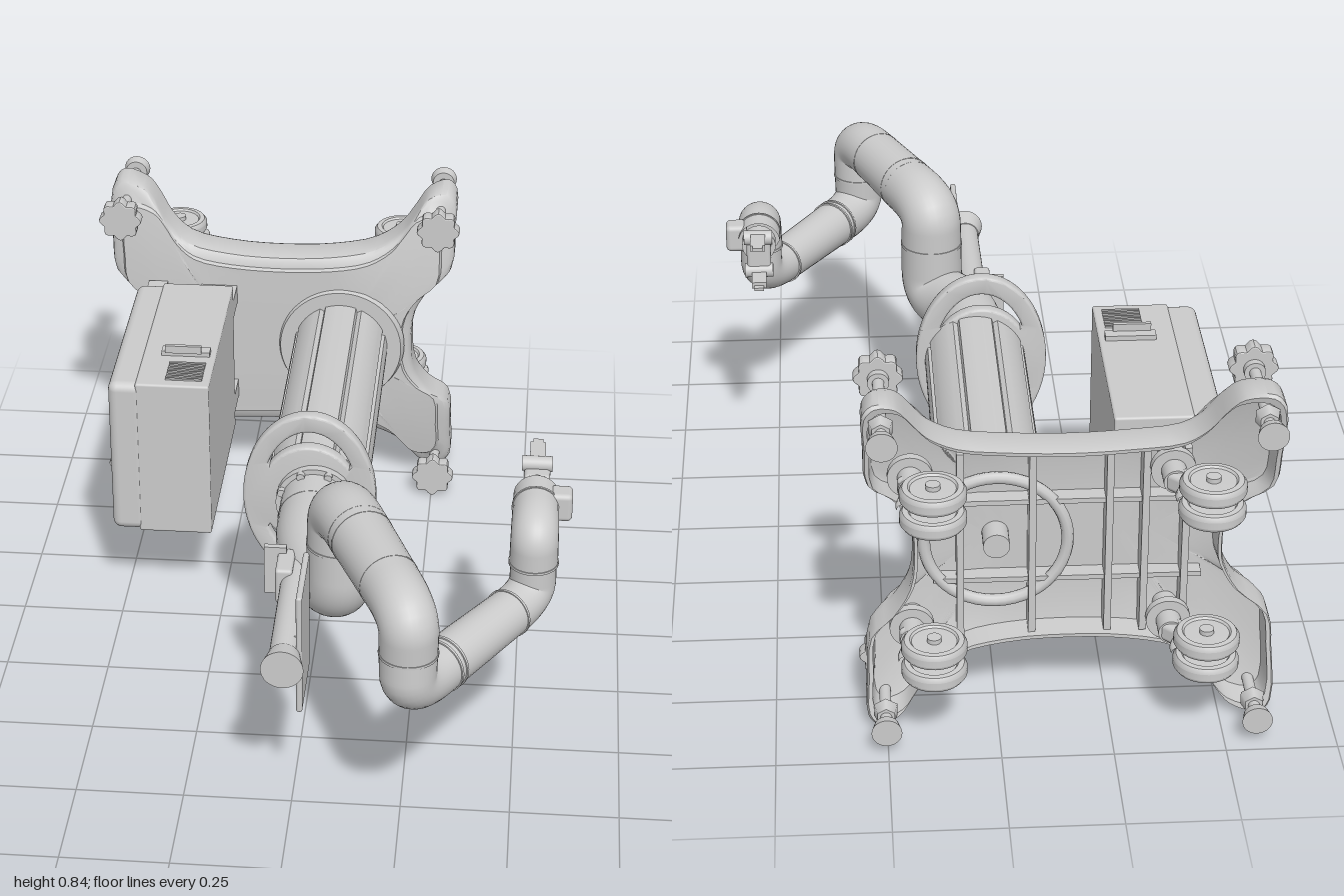
import * as THREE from 'three';
import { toCreasedNormals } from 'three/addons/utils/BufferGeometryUtils.js';
import { RoundedBoxGeometry } from 'three/addons/geometries/RoundedBoxGeometry.js';

const CY = 0.415, CX = -0.16; // column height, base centre
const V = (x, y, z) => new THREE.Vector3(x, y, z);

export function createModel() {
  const root = new THREE.Group();
  const mat = new THREE.MeshStandardMaterial({ color: 0xcccccc });
  const add = (name, geo, x = 0, y = 0, z = 0, parent = root) => {
    const m = new THREE.Mesh(geo, mat);
    m.name = name;
    m.position.set(x, y, z);
    parent.add(m);
    return m;
  };
  // box given by its limits
  const box = (name, x0, x1, y0, y1, z0, z1, r = 0) => {
    const s = [x1 - x0, y1 - y0, z1 - z0];
    const g = r ? new RoundedBoxGeometry(...s, 3, r) : new THREE.BoxGeometry(...s);
    return add(name, g, (x0 + x1) / 2, (y0 + y1) / 2, (z0 + z1) / 2);
  };
  // cylinder from point a to point b
  const rod = (name, a, b, r0, r1 = r0, n = 32) => {
    const d = b.clone().sub(a);
    const m = add(name, new THREE.CylinderGeometry(r1, r0, d.length(), n), ...a.clone().lerp(b, 0.5));
    m.quaternion.setFromUnitVectors(V(0, 1, 0), d.normalize());
    return m;
  };
  const polar = (f, n) => new THREE.Shape(Array.from({ length: n }, (_, i) => {
    const a = (i / n) * Math.PI * 2, r = f(a, i);
    return new THREE.Vector2(r * Math.cos(a), r * Math.sin(a));
  }));

  // --- Base shell: outline rings pulled inward, feet bent backward
  const half = [[0.185, 0], [0.195, 0.09], [0.235, 0.155], [0.285, 0.2], [0.292, 0.3], [0.292, 0.385],
    [0.27, 0.41], [0.225, 0.4], [0.19, 0.355], [0.155, 0.31], [0.09, 0.27], [-0.02, 0.25], [-0.16, 0.243],
    [-0.3, 0.25], [-0.41, 0.27], [-0.46, 0.31], [-0.5, 0.37], [-0.53, 0.4], [-0.59, 0.41], [-0.615, 0.38],
    [-0.615, 0.25], [-0.605, 0.17], [-0.54, 0.115], [-0.505, 0.05]];
  const outline = [...half, [-0.5, 0], ...half.slice(1).reverse().map(([x, y]) => [x, -y])];
  const rim = new THREE.CatmullRomCurve3(outline.map(([x, y]) => V(x - CX, y, 0)), true).getPoints(144).slice(0, 144);
  const bend = (x, y) => -0.085 * Math.pow(Math.max(0, Math.hypot(x, y) - 0.25) / 0.36, 1.5);
  const rings = [[0, -0.688], [0.35, -0.688], [0.6, -0.688], [0.8, -0.69], [0.86, -0.69], [0.88, -0.7],
    [0.95, -0.704], [0.985, -0.71], [1, -0.725], [1, -0.79], [0.985, -0.8], [0.95, -0.8], [0.93, -0.74],
    [0.7, -0.73], [0.4, -0.73], [0, -0.73]];
  const pos = [], idx = [], N = rim.length;
  rings.forEach(([s, z], i) => rim.forEach((p, j) => {
    const x = p.x * (0.4 + 0.6 * s), y = p.y * s;
    pos.push(x + CX, y + CY, z + bend(x, y));
    if (i === rings.length - 1) return;
    const a = i * N + j, b = i * N + (j + 1) % N, c = b + N, d = a + N;
    idx.push(a, d, c, a, c, b);
  }));
  const shell = new THREE.BufferGeometry();
  shell.setAttribute('position', new THREE.Float32BufferAttribute(pos, 3));
  shell.setIndex(idx);
  add('baseShell', toCreasedNormals(shell, 0.6));

  // ribs on the underside
  for (const x of [-0.42, -0.33, -0.25, -0.08, 0.08]) box('baseRib', x - 0.008, x + 0.008, CY - 0.235, CY + 0.235, -0.785, -0.72);
  for (const s of [-1, 1]) box('baseCrossRib', -0.46, 0.14, CY + s * 0.1 - 0.006, CY + s * 0.1 + 0.006, -0.77, -0.72);
  add('baseRing', new THREE.TorusGeometry(0.16, 0.014, 10, 48), 0, CY, -0.76);
  rod('baseHub', V(0, CY, -0.72), V(0, CY, -0.79), 0.03);

  // --- Levelling feet with star knobs
  const star = new THREE.ExtrudeGeometry(polar(a => 0.047 + 0.005 * Math.cos(8 * a), 64),
    { depth: 0.03, bevelSize: 0.003, bevelThickness: 0.004, bevelSegments: 2 });
  for (const x of [-0.572, 0.253]) for (const y of [0.05, 0.78]) {
    add('levelKnob', toCreasedNormals(star, 0.5), x, y, -0.668);
    rod('levelKnobNeck', V(x, y, -0.69), V(x, y, -0.665), 0.024);
    rod('levelStem', V(x, y, -0.94), V(x, y, -0.66), 0.013);
    rod('levelNut', V(x, y, -0.91), V(x, y, -0.88), 0.022, 0.03, 6);
    rod('levelFoot', V(x, y, -0.97), V(x, y, -0.945), 0.034, 0.028);
  }

  // --- Twin wheel casters
  const tyre = new THREE.LatheGeometry([[0.012, -0.014], [0.05, -0.014], [0.054, -0.019], [0.066, -0.018], [0.073, -0.008],
    [0.073, 0.008], [0.066, 0.018], [0.054, 0.019], [0.05, 0.014], [0.012, 0.014]].map(p => new THREE.Vector2(...p)), 40);
  for (const [x, mx] of [[-0.455, -0.385], [0.145, 0.19]]) for (const y of [0.22, 0.61]) {
    for (const s of [-1, 1]) add('casterWheel', toCreasedNormals(tyre, 0.7), x, y + s * 0.029, -0.927);
    rod('casterAxle', V(x, y - 0.054, -0.927), V(x, y + 0.054, -0.927), 0.016);
    rod('casterStem', V(mx, y, -0.72), V(mx, y, -0.86), 0.028);
    rod('casterPlate', V(mx, y, -0.79), V(mx, y, -0.81), 0.05);
    const fork = add('casterFork', new RoundedBoxGeometry(0.13, 0.045, 0.05, 2, 0.012), (x + mx) / 2, y, -0.88);
    fork.rotation.y = -Math.atan2(0.07, mx - x);
    add('casterGuard', new THREE.TorusGeometry(0.068, 0.012, 8, 20, 1.7).rotateX(Math.PI / 2), x, y, -0.925)
      .rotation.y = 0.2;
  }

  // --- Grooved column
  const col = new THREE.ExtrudeGeometry(polar((a, i) => (i % 12 === 6 ? 0.114 : 0.124), 96), { depth: 0.77, bevelEnabled: false });
  add('column', toCreasedNormals(col, 0.3), 0, CY, -0.69);
  rod('columnFlange', V(0, CY, -0.7), V(0, CY, -0.677), 0.168, 0.16, 64);

  // --- Handle ring with two grip slots
  const plate = new THREE.Shape().absellipse(0, 0, 0.155, 0.217, 0, Math.PI * 2);
  for (const s of [0, Math.PI]) {
    const slot = new THREE.Path();
    slot.absellipse(0, 0, 0.122, 0.184, s + 0.5, s + Math.PI - 0.5, false);
    slot.absellipse(0, 0, 0.115, 0.13, s + Math.PI - 0.6, s + 0.6, true);
    plate.holes.push(slot);
  }
  add('handleRing', toCreasedNormals(new THREE.ExtrudeGeometry(plate,
    { depth: 0.022, bevelSize: 0.006, bevelThickness: 0.006, bevelSegments: 3, curveSegments: 40 }), 0.7), -0.015, 0.42, 0.076);

  // --- Arm links: rounded-corner tubes with tapering radius
  const link = (name, pts, r0, r1, c = 0.1) => {
    const path = new THREE.CurvePath();
    let last = pts[0];
    for (let i = 1; i < pts.length - 1; i++) {
      const p = pts[i], toward = q => p.clone().add(q.clone().sub(p).setLength(Math.min(c, p.distanceTo(q) * 0.49)));
      const a = toward(pts[i - 1]), b = toward(pts[i + 1]);
      path.add(new THREE.LineCurve3(last, a));
      path.add(new THREE.QuadraticBezierCurve3(a, p, b));
      last = b;
    }
    path.add(new THREE.LineCurve3(last, pts[pts.length - 1]));
    const n = 72, k = 32, g = new THREE.TubeGeometry(path, n, 1, k);
    const P = g.attributes.position, v = V(0, 0, 0);
    for (let i = 0; i < P.count; i++) {
      const t = Math.floor(i / (k + 1)) / n, o = path.getPointAt(t);
      v.fromBufferAttribute(P, i).sub(o).multiplyScalar(r0 + (r1 - r0) * t).add(o);
      P.setXYZ(i, v.x, v.y, v.z);
    }
    add(name, g);
  };
  const shoulder = V(0.09, 0.54, 0.488), elbow = V(0.27, 0.54, 0.92), wrist = V(0.53, 0.53, 0.52);
  link('shoulderLink', [V(0, CY, 0.12), V(0, 0.415, 0.34), V(0.09, 0.393, 0.488), shoulder], 0.082, 0.077, 0.12);
  link('upperArm', [shoulder, V(0.09, 0.64, 0.488), V(0.27, 0.64, 0.925), elbow], 0.077, 0.064);
  link('forearm', [elbow, V(0.27, 0.442, 0.925), V(0.53, 0.44, 0.52), wrist], 0.064, 0.052);
  link('wristLink', [wrist, V(0.53, 0.612, 0.52), V(0.53, 0.612, 0.365)], 0.055, 0.052, 0.08);
  const band = (p, d, r, h = 0.006) => {
    const o = d.clone().setLength(h / 2);
    rod('jointBand', p.clone().sub(o), p.clone().add(o), r, r, 40);
  };
  const up = V(0, 1, 0), out = V(0.18, 0, 0.435), back = V(0.26, 0, -0.405);
  band(shoulder, up, 0.079); band(elbow, up, 0.066); band(wrist, up, 0.057);
  band(V(0.14, 0.64, 0.61), out, 0.073); band(V(0.15, 0.64, 0.634), out, 0.073); band(V(0.22, 0.64, 0.803), out, 0.069);
  band(V(0.335, 0.442, 0.824), back, 0.063); band(V(0.345, 0.442, 0.808), back, 0.063);
  band(V(0.478, 0.44, 0.6), back, 0.058);
  band(V(0.53, 0.612, 0.42), V(0, 0, 1), 0.055);
  // mounting collar with bolts
  rod('armCollar', V(0, CY, 0.08), V(0, CY, 0.125), 0.095);
  rod('armFlange', V(0, CY, 0.125), V(0, CY, 0.2), 0.082);
  for (let i = 0; i < 8; i++) {
    const a = (i + 0.5) * Math.PI / 4, x = 0.086 * Math.cos(a), y = CY + 0.086 * Math.sin(a);
    rod('collarBolt', V(x, y, 0.11), V(x, y, 0.14), 0.01, 0.01, 10);
  }
  // button pad on the forearm
  const pad = add('forearmPad', new RoundedBoxGeometry(0.1, 0.062, 0.025, 2, 0.008), 0.447, 0.442, 0.71);
  pad.rotation.y = 1.0;
  for (const u of [-0.025, 0.015]) add('padButton', new THREE.BoxGeometry(0.02, 0.03, 0.008), u, 0, 0.015, pad);

  // --- Gripper
  rod('gripperMount', V(0.53, 0.612, 0.375), V(0.53, 0.612, 0.345), 0.042);
  box('toolCamera', 0.56, 0.613, 0.58, 0.65, 0.375, 0.43, 0.012);
  box('gripperBody', 0.5, 0.56, 0.572, 0.652, 0.29, 0.35, 0.01);
  for (const s of [-1, 1]) {
    const y = 0.612 + s * 0.045;
    rod('gripperKnuckle', V(0.495, y, 0.3), V(0.565, y, 0.3), 0.018);
    box('gripperFinger', 0.512, 0.548, y - 0.008 + s * 0.006, y + 0.008 + s * 0.006, 0.225, 0.305);
    box('fingerTip', 0.518, 0.542, y - 0.004 + s * 0.01, y + 0.004 + s * 0.01, 0.21, 0.25);
  }

  // --- Tool post and flat screen beside the shoulder
  rod('toolPost', V(-0.012, CY, 0.3), V(-0.012, CY, 0.79), 0.038, 0.034);
  rod('toolPostEnd', V(-0.012, CY, 0.78), V(-0.012, CY, 0.832), 0.036, 0.048);
  box('postBracket', -0.06, -0.02, 0.37, 0.46, 0.4, 0.5, 0.008);
  box('postClip', -0.092, -0.04, 0.35, 0.475, 0.41, 0.425);
  box('screen', 0.014, 0.028, 0.265, 0.57, 0.585, 0.78, 0.006);
  box('screenMount', -0.01, 0.018, 0.385, 0.445, 0.62, 0.74);

  // --- Control box
  box('controlBoxBody', -0.525, -0.44, 0.207, 0.623, -0.6, -0.05, 0.022);
  box('controlBoxLid', -0.457, -0.275, 0.205, 0.625, -0.602, -0.052, 0.006);
  for (const [a, b] of [[-0.51, -0.46], [-0.37, -0.275]]) for (const y of [0.25, 0.53])
    box('boxBracket', a, b, y, y + 0.05, -0.7, -0.595);
  for (const s of [-1, 1]) {
    const at = (d0, d1) => [CY + s * d0, CY + s * d1].sort();
    box('latchBase', -0.41, -0.29, ...at(0.205, 0.222), -0.235, -0.205);
    box('latchHandle', -0.4, -0.31, ...at(0.22, 0.24), -0.21, -0.2);
    for (let i = 0; i < 8; i++) box('ventSlat', -0.385, -0.295, ...at(0.205, 0.214), -0.17 + i * 0.012, -0.164 + i * 0.012);
  }
  // fan grille on the outer face
  for (const r of [0.02, 0.04, 0.06, 0.08])
    add('fanRing', new THREE.TorusGeometry(r, 0.003, 6, 32).rotateY(Math.PI / 2), -0.525, CY, -0.22);
  for (let i = 0; i < 4; i++)
    add('fanSpoke', new THREE.BoxGeometry(0.004, 0.16, 0.004), -0.525, CY, -0.22).rotation.x = i * Math.PI / 4;
  return root;
}
